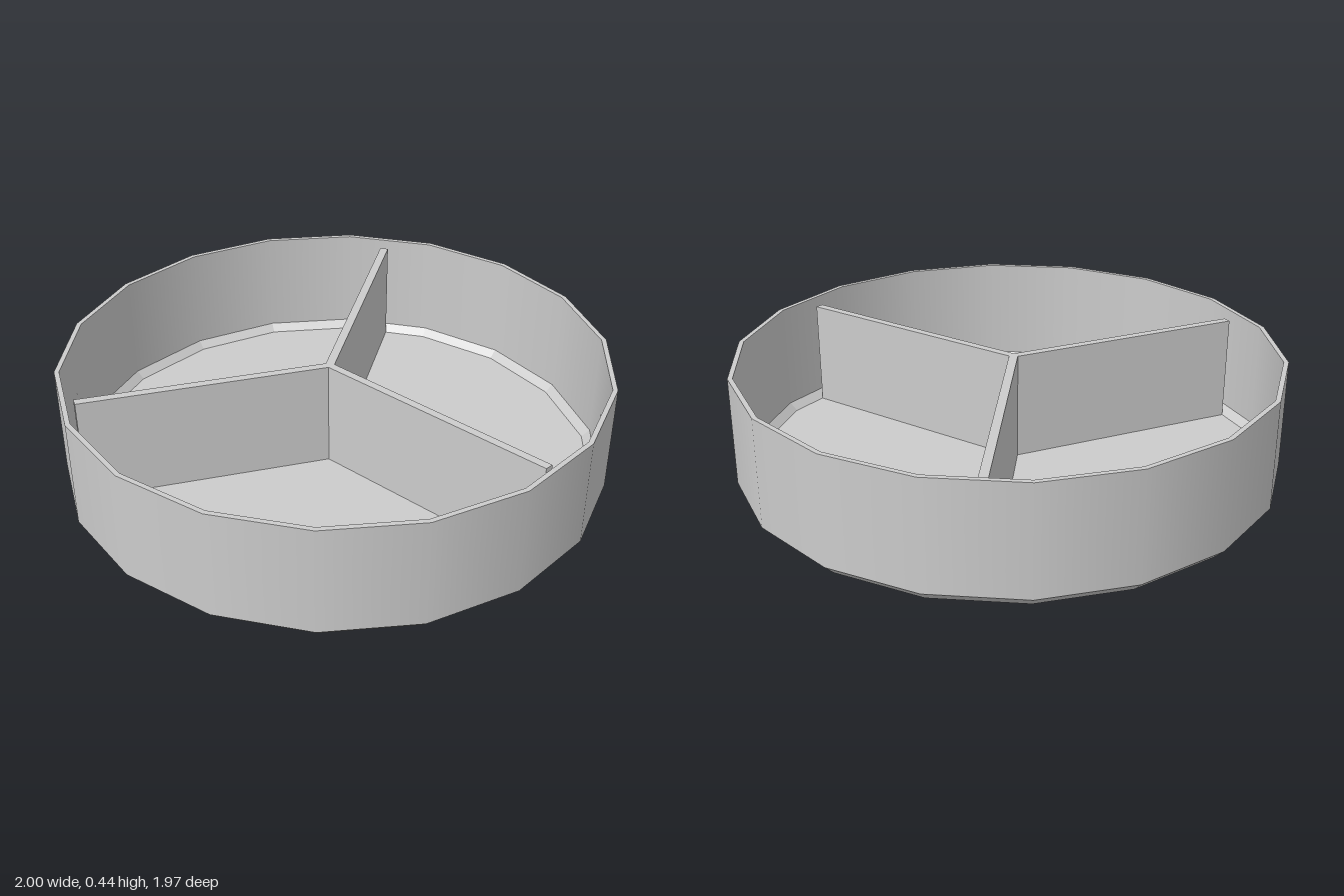
import * as THREE from 'three';

const SIDES = 18;
const smooth = new THREE.MeshStandardMaterial({ color: 0xcccccc });
const faceted = new THREE.MeshStandardMaterial({ color: 0xcccccc, flatShading: true });

// One ring of the tray between two [radius, height] points, with a corner on +x
function ring(name, from, to, material) {
  const points = [from, to].map(([r, y]) => new THREE.Vector2(r, y));
  const mesh = new THREE.Mesh(new THREE.LatheGeometry(points, SIDES, Math.PI / 2), material);
  mesh.name = name;
  return mesh;
}

export function createModel() {
  const model = new THREE.Group();
  model.name = 'dividedTray';

  // Closed shell: underside, outside, rim, inside, floor
  const tray = new THREE.Group();
  tray.name = 'tray';
  tray.add(
    ring('underside', [0, 0], [0.96, 0], faceted),
    ring('outerChamfer', [0.96, 0], [1, 0.04], faceted),
    ring('outerWall', [1, 0.04], [1, 0.445], smooth),
    ring('rim', [1, 0.445], [0.982, 0.445], faceted),
    ring('innerWall', [0.982, 0.445], [0.982, 0.045], smooth),
    ring('innerChamfer', [0.982, 0.045], [0.953, 0.017], faceted),
    ring('floor', [0.953, 0.017], [0, 0.017], faceted)
  );
  model.add(tray);

  // Three-armed divider standing on the floor, outline drawn as x, -z
  const outline = [
    [-0.032, 0.94], [-0.032, -0.02], [-0.82, -0.457], [-0.803, -0.483], [-0.016, -0.045],
    [0.803, -0.48], [0.82, -0.455], [0, -0.02], [0, 0.94],
  ].map(([x, y]) => new THREE.Vector2(x, y));
  const geometry = new THREE.ExtrudeGeometry(new THREE.Shape(outline), { depth: 0.405, bevelEnabled: false });
  geometry.rotateX(-Math.PI / 2);
  const divider = new THREE.Mesh(geometry, faceted);
  divider.name = 'divider';
  divider.position.y = 0.015;
  model.add(divider);

  return model;
}
